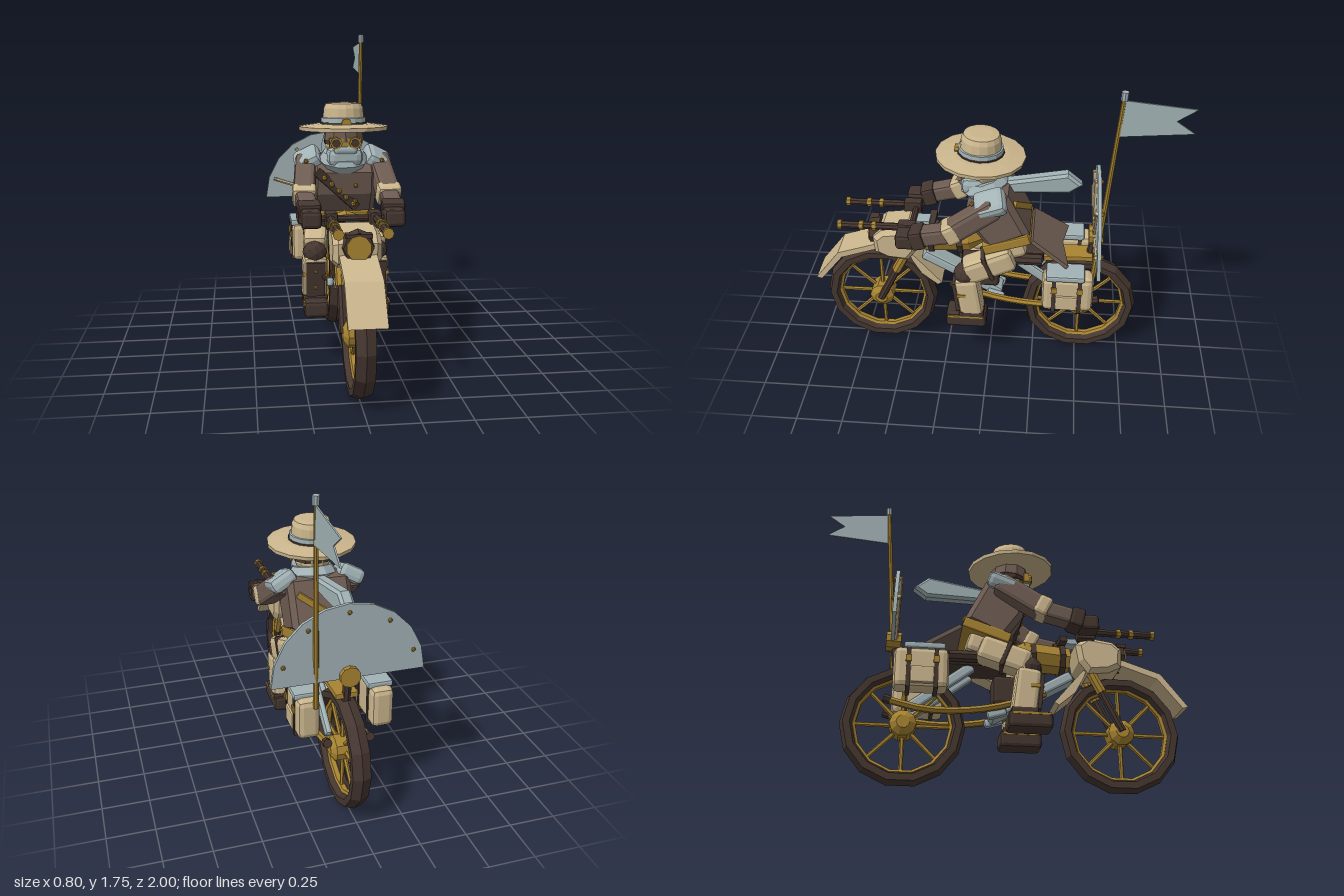
import * as THREE from 'three';
import { RoundedBoxGeometry } from 'three/addons/geometries/RoundedBoxGeometry.js';

const paint = (name, color) => {
  const m = new THREE.MeshStandardMaterial({ color, flatShading: true, side: THREE.DoubleSide });
  m.name = name;
  return m;
};

export function createModel() {
  const sand = paint('sand', 0xcbb68d), brass = paint('brass', 0xa88432), brown = paint('coat brown', 0x6e5c52);
  const dark = paint('dark leather', 0x453630), steel = paint('blue grey', 0xa2b2b5);
  const root = new THREE.Group();
  root.name = 'desertRider';
  const V = (p) => new THREE.Vector3(...p);

  const add = (name, geo, mat, p = [0, 0, 0], r = [0, 0, 0], parent = root) => {
    const m = new THREE.Mesh(geo, mat);
    m.name = name;
    m.position.set(...p);
    m.rotation.set(...r);
    parent.add(m);
    return m;
  };
  const box = (name, mat, size, p, r) => add(name, new THREE.BoxGeometry(...size), mat, p, r);
  const block = (name, mat, size, p, r, bevel = 0.02) => add(name, new RoundedBoxGeometry(...size, 1, bevel), mat, p, r);
  // Round bar between two points
  const bar = (name, mat, a, b, r0, r1 = r0, sides = 8, parent = root) => {
    const A = V(a), B = V(b), d = B.clone().sub(A);
    const m = add(name, new THREE.CylinderGeometry(r1, r0, d.length(), sides), mat, A.clone().add(B).multiplyScalar(0.5).toArray(), [0, 0, 0], parent);
    m.quaternion.setFromUnitVectors(new THREE.Vector3(0, 1, 0), d.normalize());
    return m;
  };
  // Chamfered beam between two points
  const beam = (name, mat, a, b, w, h, bevel = 0.015) => {
    const A = V(a), B = V(b);
    const m = add(name, new RoundedBoxGeometry(w, h, A.distanceTo(B), 1, bevel), mat, A.clone().add(B).multiplyScalar(0.5).toArray());
    m.lookAt(B);
    return m;
  };
  // Side outline of [z, y] points, extruded across x
  const profile = (name, mat, pts, w, x = 0, bevel = 0) => {
    const shape = new THREE.Shape(pts.map(([z, y]) => new THREE.Vector2(z, y)));
    const g = new THREE.ExtrudeGeometry(shape, { depth: w - 2 * bevel, bevelEnabled: bevel > 0, bevelSize: bevel, bevelOffset: -bevel, bevelThickness: bevel, bevelSegments: 1 });
    g.translate(0, 0, bevel - w / 2).rotateY(-Math.PI / 2);
    return add(name, g, mat, [x, 0, 0]);
  };
  const stud = (name, p, r = 0.011) => add(name, new THREE.IcosahedronGeometry(r, 0), brass, p);

  // Wheels
  for (const [name, z] of [['frontWheel', 0.637], ['rearWheel', -0.51]]) {
    const wheel = new THREE.Group();
    wheel.name = name;
    wheel.position.set(0, 0.33, z);
    root.add(wheel);
    const tyre = new THREE.TorusGeometry(0.288, 0.036, 6, 14).rotateY(Math.PI / 2).scale(1.55, 1, 1);
    add('tyre', tyre, dark, [0, 0, 0], [0, 0, 0], wheel);
    add('rim', new THREE.TorusGeometry(0.252, 0.012, 5, 14).rotateY(Math.PI / 2).scale(1.8, 1, 1), brass, [0, 0, 0], [0, 0, 0], wheel);
    for (let i = 0; i < 8; i++) {
      const a = i * Math.PI / 4;
      bar('spoke', brass, [0, 0, 0], [0, Math.sin(a) * 0.25, Math.cos(a) * 0.25], 0.013, 0.011, 6, wheel);
    }
    bar('hub', brass, [-0.05, 0, 0], [0.05, 0, 0], 0.07, 0.07, 10, wheel);
    for (const s of [-1, 1]) bar('hubCap', brass, [s * 0.05, 0, 0], [s * 0.075, 0, 0], 0.07, 0.035, 10, wheel);
  }

  // Front fender, housing and lamp
  profile('frontFender', sand, [[1, 0.475], [0.86, 0.655], [0.65, 0.725], [0.6, 0.7], [0.65, 0.69], [0.84, 0.625], [0.97, 0.465]], 0.185);
  profile('frontFenderBack', sand, [[0.46, 0.68], [0.42, 0.64], [0.275, 0.47], [0.3, 0.455], [0.39, 0.53], [0.44, 0.62]], 0.16);
  profile('lampHousing', sand, [[0.64, 0.68], [0.65, 0.78], [0.6, 0.825], [0.46, 0.845], [0.395, 0.8], [0.41, 0.7], [0.46, 0.635], [0.57, 0.645]], 0.24, 0, 0.025);
  bar('lampFrame', dark, [0, 0.765, 0.62], [0, 0.765, 0.675], 0.085, 0.075);
  bar('lampLens', brass, [0, 0.765, 0.66], [0, 0.765, 0.685], 0.062, 0.062, 10);
  box('lampVisor', dark, [0.13, 0.02, 0.05], [0, 0.825, 0.66]);
  box('dashboard', steel, [0.08, 0.03, 0.08], [0, 0.845, 0.38]);
  box('dashTrim', dark, [0.21, 0.03, 0.04], [0, 0.83, 0.33]);
  bar('handlebar', dark, [-0.22, 0.86, 0.43], [0.22, 0.86, 0.43], 0.018);

  // Engine, frame and seat
  bar('engineDrum', brass, [0, 0.735, 0.37], [0, 0.755, 0.12], 0.08, 0.085);
  bar('engineNose', brass, [0, 0.755, 0.12], [0, 0.76, 0.04], 0.085, 0.035);
  for (const z of [0.33, 0.17]) bar('engineBand', dark, [0, 0.74, z - 0.015], [0, 0.74, z + 0.015], 0.092);
  bar('enginePlug', dark, [0, 0.8, 0.31], [0, 0.835, 0.31], 0.025);
  beam('lowerFrame', steel, [0, 0.64, 0.38], [0, 0.39, -0.06], 0.11, 0.06);
  block('crankcase', dark, [0.14, 0.16, 0.22], [0, 0.53, 0.06]);
  block('saddle', dark, [0.2, 0.08, 0.34], [0, 0.685, -0.13]);
  beam('cargoRack', brass, [0, 0.66, -0.28], [0, 0.67, -0.57], 0.12, 0.03, 0.005);

  for (const s of [-1, 1]) {
    // Fork, swing arm and exhaust
    bar('forkLower', dark, [s * 0.07, 0.33, 0.637], [s * 0.07, 0.56, 0.525], 0.022);
    bar('forkUpper', brass, [s * 0.07, 0.54, 0.535], [s * 0.07, 0.66, 0.475], 0.028);
    beam('swingArm', steel, [s * 0.07, 0.65, -0.16], [s * 0.07, 0.4, -0.49], 0.035, 0.06);
    beam('sideRail', steel, [s * 0.07, 0.41, 0.02], [s * 0.07, 0.38, -0.08], 0.04, 0.05);
    const path = new THREE.CatmullRomCurve3([[0.5, 0.22], [0.43, 0.02], [0.39, -0.18], [0.385, -0.4], [0.43, -0.61]].map(([y, z]) => new THREE.Vector3(s * 0.115, y, z)));
    add('exhaust', new THREE.TubeGeometry(path, 10, 0.019, 6), brass);
    bar('exhaustTip', dark, [s * 0.115, 0.425, -0.58], [s * 0.115, 0.435, -0.615], 0.024);

    // Twin barrels
    bar('barrel', dark, [s * 0.115, 0.87, 0.4], [s * 0.115, 0.87, 0.83], 0.021);
    for (const z of [0.82, 0.7, 0.63]) bar('barrelRing', brass, [s * 0.115, 0.87, z - 0.011], [s * 0.115, 0.87, z + 0.011], 0.027);
    block('barrelBreech', dark, [0.06, 0.08, 0.1], [s * 0.11, 0.86, 0.45], [0, 0, 0], 0.01);

    // Saddlebags
    const bx = s * 0.198;
    block('saddlebag', sand, [0.12, 0.22, 0.28], [bx, 0.56, -0.435], [0, 0, 0], 0.03);
    block('saddlebagLid', steel, [0.135, 0.035, 0.21], [bx, 0.675, -0.42], [0, 0, 0], 0.01);
    for (const z of [-0.36, -0.5]) {
      box('bagStrap', dark, [0.13, 0.225, 0.022], [bx, 0.56, z]);
      box('bagBuckle', brass, [0.008, 0.035, 0.03], [bx + s * 0.068, 0.6, z]);
    }
    block('bagPocket', sand, [0.025, 0.09, 0.12], [bx + s * 0.06, 0.515, -0.43], [0, 0, 0], 0.008);
    bar('bedrollEnd', dark, [s * 0.11, 0.69, -0.14], [s * 0.11, 0.69, -0.29], 0.033);

    // Legs and boots
    const x = s * 0.165;
    beam('thigh', sand, [s * 0.13, 0.73, -0.13], [x, 0.63, 0.13], 0.13, 0.14, 0.03);
    beam('thighStrap', dark, [s * 0.147, 0.683, -0.003], [s * 0.15, 0.673, 0.022], 0.142, 0.152, 0.01);
    add('kneePad', new THREE.IcosahedronGeometry(0.066, 1), dark, [x, 0.615, 0.13]);
    beam('shin', sand, [x, 0.6, 0.125], [x, 0.34, 0.09], 0.13, 0.13, 0.025);
    box('shinGuard', dark, [0.1, 0.19, 0.02], [x, 0.475, 0.182], [0.12, 0, 0]);
    for (const y of [0.43, 0.52]) stud('shinStud', [x, y, 0.193 + (y - 0.475) * 0.12]);
    box('shinBuckle', brass, [0.138, 0.02, 0.05], [x, 0.5, 0.15]);
    block('boot', dark, [0.13, 0.09, 0.23], [x, 0.32, 0.125]);
    box('bootTrim', brass, [0.134, 0.012, 0.2], [x, 0.35, 0.13]);
    block('bootCuff', dark, [0.136, 0.035, 0.14], [x, 0.365, 0.095], [0, 0, 0], 0.01);

    // Arms
    beam('upperArm', brown, [s * 0.195, 1.09, -0.04], [s * 0.225, 0.93, 0.2], 0.115, 0.12, 0.025);
    beam('elbowCuff', sand, [s * 0.22, 0.955, 0.16], [s * 0.226, 0.92, 0.23], 0.128, 0.115, 0.02);
    beam('forearm', brown, [s * 0.225, 0.93, 0.18], [s * 0.215, 0.88, 0.4], 0.1, 0.095, 0.02);
    beam('gauntlet', dark, [s * 0.218, 0.895, 0.335], [s * 0.213, 0.875, 0.41], 0.12, 0.11, 0.015);
    block('hand', dark, [0.105, 0.09, 0.11], [s * 0.21, 0.865, 0.44]);
    block('shoulderPad', steel, [0.15, 0.09, 0.17], [s * 0.19, 1.095, -0.01], [0.35, 0, -s * 0.5], 0.03);
    stud('shoulderStud', [s * 0.205, 1.1, 0.085], 0.014);
    stud('shoulderStud', [s * 0.235, 1.05, 0.085], 0.012);
  }

  // Coat, belt and tail
  profile('coat', brown, [[-0.1, 1.12], [-0.22, 0.88], [0, 0.78], [0.1, 0.92], [0.12, 1.04], [0, 1.13]], 0.35, 0, 0.03);
  beam('belt', brass, [0, 0.78, 0.03], [0, 0.865, -0.22], 0.36, 0.06, 0.01);
  block('hips', sand, [0.28, 0.12, 0.22], [0, 0.75, -0.09], [0.3, 0, 0], 0.03);
  const tail = new THREE.Shape([[-0.16, 0], [0.16, 0], [0.195, 0.24], [0, 0.2], [-0.195, 0.24]].map(([a, b]) => new THREE.Vector2(a, b)));
  add('coatTail', new THREE.ExtrudeGeometry(tail, { depth: 0.022, bevelEnabled: false }), brown, [0, 0.835, -0.225], [-Math.PI / 2 - 0.61, 0, 0]);
  beam('bandolier', dark, [-0.15, 1.05, 0.125], [0.07, 0.84, 0.065], 0.02, 0.05, 0.004);
  for (let i = 0; i < 5; i++) stud('cartridge', [-0.11 + i * 0.04, 1.015 - i * 0.038, 0.13 - i * 0.011], 0.016);
  for (const y of [0.88, 0.97]) stud('coatButton', [0.06, y, 0.09 + (y - 0.88) * 0.3], 0.013);
  beam('backStrap', brass, [0.13, 1.06, -0.135], [-0.1, 0.9, -0.213], 0.02, 0.035, 0.004);

  // Scarf and head
  add('neckScarf', new THREE.TorusGeometry(0.085, 0.05, 6, 10).rotateX(Math.PI / 2), steel, [0, 1.105, 0.035], [0.25, 0, 0]);
  const streamer = profile('scarfStreamer', steel, [[-0.06, 1.06], [-0.08, 1.13], [-0.41, 1.175], [-0.49, 1.105], [-0.42, 1.055]], 0.075, 0, 0.015);
  streamer.rotation.y = 0.08;
  add('head', new THREE.SphereGeometry(0.1, 10, 7), sand, [0, 1.2, 0.035]);
  bar('cap', brown, [0, 1.215, 0.045], [0, 1.275, 0.05], 0.11, 0.1, 10);
  block('faceScarf', steel, [0.19, 0.1, 0.13], [0, 1.125, 0.09], [0, 0, 0], 0.035);
  block('moustache', steel, [0.13, 0.05, 0.05], [0, 1.165, 0.135]);
  bar('goggleStrap', dark, [0, 1.19, 0.04], [0, 1.215, 0.04], 0.106, 0.106, 10);
  box('goggleFrame', brass, [0.17, 0.05, 0.03], [0, 1.203, 0.135]);
  for (const s of [-1, 1]) {
    bar('goggleRim', brass, [s * 0.05, 1.203, 0.13], [s * 0.05, 1.203, 0.163], 0.032);
    bar('goggleLens', dark, [s * 0.05, 1.203, 0.16], [s * 0.05, 1.203, 0.168], 0.023);
  }

  // Wide hat
  const hat = (name, mat, pts) => add(name, new THREE.LatheGeometry(pts.map(([r, y]) => new THREE.Vector2(r, y)), 16), mat, [0, 1.28, 0.055], [-0.04, 0, 0]);
  hat('hatBrim', sand, [[0, -0.005], [0.15, -0.008], [0.238, -0.015], [0.24, 0.005], [0.15, 0.018], [0, 0.02]]);
  hat('hatCrown', sand, [[0.115, 0.01], [0.106, 0.1], [0.095, 0.125], [0.06, 0.13], [0, 0.13]]);
  hat('hatBand', steel, [[0.122, 0.014], [0.12, 0.05], [0.108, 0.052]]);
  hat('hatCord', dark, [[0.126, 0.014], [0.126, 0.026], [0.11, 0.028]]);
  bar('hatBadge', brass, [0, 1.31, 0.165], [0, 1.31, 0.19], 0.026);

  // Rear fan shield with ribs and studs
  const fan = new THREE.Shape();
  for (let i = 0; i <= 10; i++) {
    const a = i * Math.PI / 10;
    fan[i ? 'lineTo' : 'moveTo'](Math.cos(a) * 0.4, Math.sin(a) * 0.4);
  }
  const shield = new THREE.Group();
  shield.name = 'rearShield';
  shield.position.set(0, 0.785, -0.585);
  root.add(shield);
  add('fanPlate', new THREE.ExtrudeGeometry(fan, { depth: 0.02, bevelEnabled: false }), steel, [0, 0, -0.01], [0, 0, 0], shield);
  for (let i = 0; i < 5; i++) {
    const a = (18 + i * 36) * Math.PI / 180, c = Math.cos(a), n = Math.sin(a);
    bar('fanRib', sand, [c * 0.05, n * 0.05, 0.016], [c * 0.37, n * 0.37, 0.016], 0.011, 0.011, 6, shield);
    for (const z of [-0.014, 0.014]) add('fanStud', new THREE.IcosahedronGeometry(0.013, 0), brass, [c * 0.355, n * 0.355, z], [0, 0, 0], shield);
  }
  bar('fanHub', brass, [0, 0.015, -0.035], [0, 0.015, 0.045], 0.055, 0.055, 10, shield);
  shield.rotation.x = 0.03;
  bar('shieldPost', dark, [0, 0.62, -0.55], [0, 0.79, -0.575], 0.024);

  // Mast and pennant
  bar('mast', brass, [0.165, 0.63, -0.57], [0.19, 1.73, -0.648], 0.016, 0.011);
  bar('mastCap', steel, [0.19, 1.715, -0.648], [0.19, 1.76, -0.65], 0.018);
  profile('pennant', steel, [[-0.65, 1.715], [-1, 1.68], [-0.905, 1.615], [-1, 1.55], [-0.64, 1.52]], 0.008, 0.19);

  return root;
}
